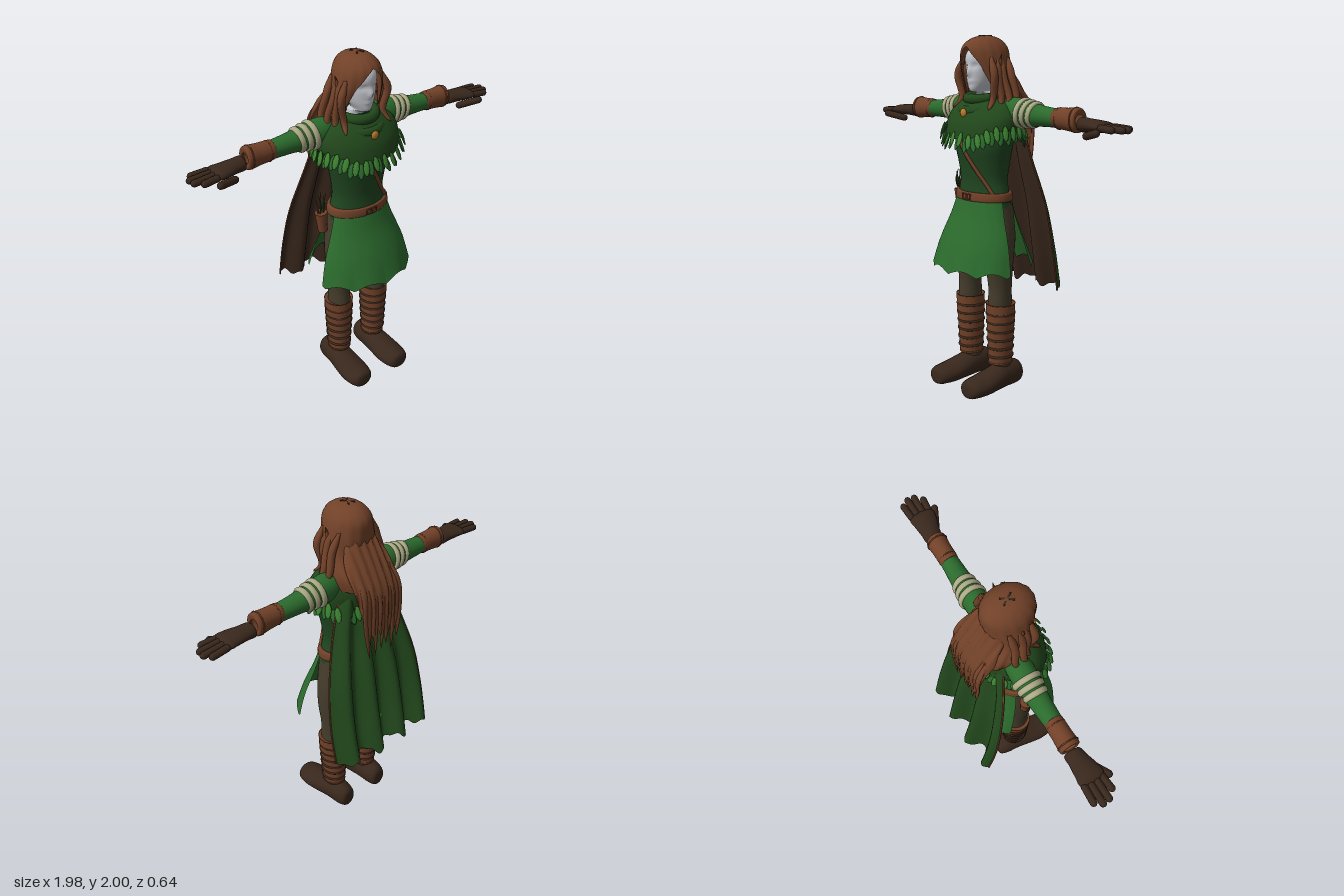
import * as THREE from 'three';

const mat = (name, color) => new THREE.MeshStandardMaterial({ name, color, side: THREE.DoubleSide });
const M = {
  skirt: mat('bright green cloth', 0x2b6a2d), torso: mat('deep green cloth', 0x1f4520),
  cape: mat('forest green cloth', 0x22481c), leaf: mat('leaf green', 0x3d8130),
  leather: mat('brown leather and hair', 0x714128), dark: mat('dark brown leather', 0x38271c),
  trousers: mat('olive brown cloth', 0x443c2b), face: mat('pale grey', 0xc4c7cd),
  cream: mat('cream binding', 0xaaa884), gold: mat('gold', 0xb97c2a),
};

// Smooth interpolation through a list of rows, v in 0..1
function rowAt(rows, v) {
  const n = rows.length - 1, f = v * n, i = Math.min(n - 1, Math.floor(f)), t = f - i;
  return rows[i].map((a, k) => {
    const p = rows[Math.max(0, i - 1)][k], b = rows[i + 1][k], c = rows[Math.min(n, i + 2)][k];
    return a + 0.5 * t * (b - p + t * (2 * p - 5 * a + 4 * b - c + t * (3 * (a - b) + c - p)));
  });
}

// Surface from fn(u, v) -> Vector3; wrap joins u = 1 to u = 0
function grid(fn, nu, nv, wrap = false) {
  const pos = [], idx = [], cols = wrap ? nu : nu + 1;
  for (let j = 0; j <= nv; j++) for (let i = 0; i < cols; i++) pos.push(...fn(i / nu, j / nv).toArray());
  for (let j = 0; j < nv; j++) for (let i = 0; i < nu; i++) {
    const a = j * cols + i, b = j * cols + (i + 1) % cols;
    idx.push(a, b, b + cols, a, b + cols, a + cols);
  }
  const g = new THREE.BufferGeometry();
  g.setAttribute('position', new THREE.Float32BufferAttribute(pos, 3));
  g.setIndex(idx);
  g.computeVertexNormals();
  return g;
}

// Elliptical loft; rows are [y, x, z, rx, rz] from bottom to top, angle 0 faces +z
function loft(rows, { n = 32, m = 24, a0 = -Math.PI, a1 = Math.PI, lo = () => 0, warp } = {}) {
  return grid((u, v) => {
    const a = a0 + (a1 - a0) * u, l = lo(a), w = l + (1 - l) * v;
    const [y, x, z, rx, rz] = rowAt(rows, w);
    const p = V(x + rx * Math.sin(a), y, z + rz * Math.cos(a));
    if (warp) warp(p, a, w);
    return p;
  }, n, m, a1 - a0 > 6.28);
}

// Tube that tapers to a point at its end
function lock(points, r, flat = 1) {
  const c = new THREE.CatmullRomCurve3(points.map(p => V(...p)));
  return grid((u, v) => {
    const a = u * Math.PI * 2, k = r * Math.sqrt(Math.max(0, 1 - v ** 3)) * Math.min(1, 0.4 + v * 3);
    return c.getPoint(v).add(V(-k * Math.sin(a), 0, k * flat * Math.cos(a)));
  }, 8, 14, true);
}
const tube = (pts, r) => new THREE.TubeGeometry(new THREE.CatmullRomCurve3(pts), 30, r, 6);
const V = (x, y, z) => new THREE.Vector3(x, y, z);

export function createModel() {
  const root = new THREE.Group();
  root.name = 'caped archer';
  const add = (name, geo, m, parent = root) => {
    const mesh = new THREE.Mesh(geo, m);
    mesh.name = name;
    parent.add(mesh);
    return mesh;
  };

  // Torso
  const torsoRows = [[1.0, 0, .045, .185, .12], [1.1, 0, .05, .18, .118], [1.2, 0, .05, .156, .112], [1.3, 0, .05, .165, .125],
    [1.4, 0, .05, .185, .142], [1.5, 0, .04, .19, .13], [1.6, 0, .02, .17, .1], [1.67, 0, .02, .08, .07]];
  add('torso', loft(torsoRows), M.torso);

  // Belt, double buckle and diagonal strap
  add('belt', loft([[1.095, 0, .05, .17, .11], [1.097, 0, .05, .192, .13], [1.14, 0, .05, .188, .127], [1.142, 0, .05, .165, .11]]), M.leather);
  for (const x of [-.017, .017]) {
    const buckle = add('buckle', new THREE.TorusGeometry(.02, .005, 6, 4).rotateZ(Math.PI / 4), M.leather);
    buckle.position.set(x, 1.118, .182);
  }
  const strap = [];
  for (let i = 0; i <= 10; i++) {
    const t = i / 10, x = -.05 + .2 * t, y = 1.45 - .32 * t, [, , z, rx, rz] = rowAt(torsoRows, (y - 1) / .7);
    strap.push(V(x, y, z + rz * Math.sqrt(1 - (x / rx) ** 2) + .004));
  }
  add('chest strap', tube(strap, .011), M.leather);

  // Skirt: front and back panels with scalloped hems and open sides
  const hem = (p, a, v) => { p.y += (.03 * Math.abs(Math.sin(a * 5)) - .015) * Math.max(0, 1 - v * 3); };
  const waist = [1.11, 0, .05, .185, .122];
  add('skirt front', loft([[.71, 0, .075, .315, .243], [.85, 0, .07, .282, .2], [1.0, 0, .06, .222, .146], waist],
    { n: 64, a0: -1.35, a1: 1.35, warp: hem }), M.skirt);
  add('skirt back', loft([[.72, 0, 0, .275, .21], [.85, 0, .02, .25, .175], [1.0, 0, .04, .21, .135], waist],
    { n: 64, a0: 1.95, a1: 2 * Math.PI - 1.95, warp: hem }), M.skirt);

  // Shoulder mantle, hem raised under the arms
  const mantleRows = [[1.44, 0, .055, .245, .18], [1.53, 0, .045, .245, .172], [1.6, 0, .035, .215, .145], [1.65, 0, .03, .15, .11], [1.68, 0, .035, .09, .08]];
  const raise = (p, a, v) => { p.y += .06 * Math.sin(a) ** 4 * (1 - v) ** 2; };
  add('mantle', loft(mantleRows, { n: 48, warp: raise }), M.cape);
  // Two staggered rows of leaves along the mantle hem
  const leaves = new THREE.Group();
  leaves.name = 'leaf fringe';
  root.add(leaves);
  const leafGeo = new THREE.SphereGeometry(1, 8, 6).scale(.018, .043, .006);
  for (let r = 0; r < 2; r++) for (let i = 0; i < 28; i++) {
    const a = (i + r / 2) / 28 * Math.PI * 2, k = 1.03 + r * .05;
    const leaf = add('leaf', leafGeo, r ? M.leaf : M.skirt, leaves);
    leaf.position.set(.25 * k * Math.sin(a), 1.423 + r * .02 + .05 * Math.sin(a) ** 4 + .012 * Math.sin(i * 5), .055 + .185 * k * Math.cos(a));
    leaf.rotation.set(-.35, a, .2 * Math.sin(i * 7), 'YXZ');
  }
  // Draped cowl and brooch
  [[.1, .03, 1.665, .035, .12], [.125, .03, 1.625, .045, .3]].forEach(([R, r, y, z, tilt]) => {
    const fold = add('cowl fold', new THREE.TorusGeometry(R, r, 10, 36), M.cape);
    fold.position.set(0, y, z);
    fold.rotation.x = Math.PI / 2 + tilt;
  });
  add('brooch', new THREE.SphereGeometry(.024, 12, 8).scale(1, 1, .5), M.gold).position.set(0, 1.583, .2);

  // Cape: green outside, brown lining, deep folds
  const capeRows = [[.575, .335, -.275, .045], [.8, .335, -.235, .04], [1.05, .31, -.195, .03], [1.3, .245, -.145, .02], [1.5, .18, -.115, .01], [1.63, .12, -.07, .004]];
  const capePoint = (s, v, dz = 0) => {
    const [y, w, z, amp] = rowAt(capeRows, v);
    const fray = .014 * (Math.sin(s * 19) + .6 * Math.sin(s * 43)) * Math.max(0, 1 - v * 4);
    return V(w * s, y + fray, z + dz - amp * Math.cos((s - .2) * 11.4) + (.02 + .02 * v) * s ** 4);
  };
  add('cape', grid((u, v) => capePoint(1 - 2 * u, v), 80, 30), M.cape);
  add('cape lining', grid((u, v) => capePoint(2 * u - 1, v, .007), 80, 30), M.dark);
  for (const s of [-1, 1]) add('cape edging', tube(Array.from({ length: 12 }, (_, i) => capePoint(s, i / 11)), .005), M.leather);

  // Head with brow, nose and chin
  const bump = (p, x, y, sx, sy, h) => h * Math.exp(-(((p.x - x) / sx) ** 2) - ((p.y - y) / sy) ** 2);
  add('head', loft([[1.6, 0, .03, .05, .05], [1.68, 0, .04, .05, .055], [1.7, 0, .075, .04, .07], [1.75, 0, .065, .067, .09],
    [1.82, 0, .06, .083, .1], [1.9, 0, .055, .083, .1], [1.97, 0, .04, .03, .04]], {
    n: 48, m: 40, warp: (p, a) => {
      if (Math.cos(a) < 0) return;
      p.z += bump(p, 0, 1.8, .014, .025, .018) + bump(p, 0, 1.75, .03, .008, .006)
        - bump(p, .036, 1.835, .02, .013, .01) - bump(p, -.036, 1.835, .02, .013, .01);
    },
  }), M.face);

  // Hair: parted cap open over the face
  const hairRows = [[1.56, 0, -.05, .15, .13], [1.65, 0, -.035, .172, .13], [1.75, 0, .02, .155, .115], [1.85, 0, .04, .135, .138],
    [1.93, 0, .043, .112, .136], [1.98, 0, .04, .066, .085], [2.0, 0, .035, 0, 0]];
  const smooth = THREE.MathUtils.smoothstep;
  add('hair', loft(hairRows, {
    n: 96, m: 36,
    lo: a => { const t = Math.abs(a); return (4.1 - 1.35 * Math.min(1, t / .7) ** 1.3 - 2.5 * smooth(t, .62, .95)) / 6; },
    warp: (p, a, v) => {
      const k = 1 + .025 * Math.sin(a * 15 + v * 5) * (1 - v);
      p.x *= k; p.z *= k;
    },
  }), M.leather);
  // Long hair down the back
  add('back hair', loft([[1.33, -.01, -.205, .1, .012], [1.45, -.01, -.205, .13, .02], [1.58, 0, -.18, .15, .035], [1.68, 0, -.12, .15, .05],
    [1.8, 0, -.05, .11, .05], [1.88, 0, -.02, .06, .04]], {
    n: 64, warp: (p, a, v) => { p.z -= .008 * Math.sin(p.x * 130); if (v < .1) p.y += .02 * Math.sin(p.x * 90); },
  }), M.leather);
  for (let i = 0; i < 11; i++) {
    const x = (i - 5) * .025 - .012, end = 1.24 + .06 * Math.sin(i * 2.4);
    add('hair strand', lock([[x * .9, 1.68, -.15], [x, 1.56, -.205], [x, 1.4, -.215], [x * .85 + .012 * Math.sin(i * 3), end, -.218]], .018, .6), M.leather);
  }
  // Stitched cross on the crown
  for (const s of [-1, 1]) {
    const stitch = add('crown stitch', new THREE.BoxGeometry(.009, .008, .075), M.dark);
    stitch.position.set(0, 1.994, .04);
    stitch.rotation.y = s * .6;
  }

  // Hip pouch with sprigs
  const pouch = add('hip pouch', new THREE.CylinderGeometry(.036, .026, .12, 14), M.leather);
  pouch.position.set(-.232, 1.06, .03);
  pouch.rotation.z = .08;
  for (let i = 0; i < 5; i++) {
    const x = -.235 + (i - 2) * .01;
    add('sprig', lock([[x, 1.1, .03], [x - .004, 1.17, .03 + (i % 2) * .02], [x + (i - 2) * .008, 1.22 + .015 * (i % 3), .03]], .005), i % 2 ? M.cape : M.leather);
  }

  for (const s of [-1, 1]) {
    const side = s > 0 ? 'left ' : 'right ';
    // Side locks and pointed ear
    [[.155, .06, 1.53], [.185, .03, 1.51], [.13, .1, 1.6], [.19, -.02, 1.55]].forEach(([x, z, end], i) => {
      add(side + 'side lock', lock([[s * .115, 1.88, z], [s * (.14 + i * .006), 1.78, z + .01], [s * x, 1.66, z], [s * (x + .02), end, z + .05]], .022), M.leather);
    });
    const ear = add(side + 'ear', new THREE.ConeGeometry(.014, .07, 8), M.leather);
    ear.position.set(s * .138, 1.87, .05);
    ear.rotation.z = -s * .3;

    // Arm, built along its own y axis pointing outwards
    const arm = new THREE.Group();
    arm.name = side + 'arm';
    arm.rotation.z = -s * Math.PI / 2;
    root.add(arm);
    const out = rows => rows.map(([x, y, z, ry, rz]) => [x, -s * y, z, ry, rz]);
    add('sleeve', loft(out([[.12, 1.59, 0, .07, .06], [.2, 1.588, 0, .08, .07], [.3, 1.585, -.003, .073, .066], [.4, 1.578, -.003, .056, .056], [.53, 1.573, 0, .048, .048]])), M.skirt, arm);
    // Three broad slanted bindings
    for (let i = 0; i < 3; i++) {
      const x = .268 + i * .041, r = .079 - i * .006, b = (dx, dr) => [x + dx, 1.585 - i * .002, -.003, r + dr, r - .005 + dr];
      add('arm binding', loft(out([b(-.017, -.014), b(-.014, .002), b(0, .006), b(.014, .001), b(.017, -.016)]),
        { m: 12, warp: (p, a) => { p.y -= s * .012 * Math.sin(a); } }), M.cream, arm);
    }
    add('bracer', loft(out([[.512, 1.575, 0, .04, .04], [.514, 1.575, 0, .053, .05], [.59, 1.573, 0, .058, .052], [.664, 1.572, 0, .063, .054], [.667, 1.572, 0, .03, .03]])), M.leather, arm);
    for (const [x, r] of [[.535, .0545], [.645, .0625]]) {
      const ring = add('bracer cord', new THREE.TorusGeometry(r, .004, 6, 28).rotateX(Math.PI / 2).scale(1, 1, .9), M.leather, arm);
      ring.position.set(-s * 1.573, x, 0);
    }
    // Gloved hand: palm, four fingers, thumb
    add('palm', loft(out([[.682, 1.553, 0, 0, 0], [.684, 1.553, 0, .036, .044], [.74, 1.553, .006, .034, .054], [.8, 1.552, .012, .031, .066], [.85, 1.551, .012, .024, .066], [.872, 1.549, .012, 0, 0]])), M.dark, arm);
    [.95, .985, .99, .965].forEach((tip, i) => {
      const z = .06 - i * .033, z2 = .072 - i * .039;
      const finger = add('finger', new THREE.CapsuleGeometry(.0185, tip - .84 - .037, 4, 10), M.dark, arm);
      finger.position.set(-s * 1.547, (tip + .84) / 2, (z + z2) / 2);
      finger.rotation.set((z2 - z) / (tip - .84), 0, -s * .06);
    });
    const thumb = add('thumb', new THREE.CapsuleGeometry(.02, .12, 4, 10), M.dark, arm);
    thumb.position.set(-s * 1.515, .81, .075);
    thumb.rotation.set(.45, 0, s * .2);

    // Leg
    const leg = new THREE.Group();
    leg.name = side + 'leg';
    root.add(leg);
    const at = rows => rows.map(([y, x, ...r]) => [y, s * x, ...r]);
    add('trouser leg', loft(at([[.12, .13, .03, .05, .055], [.45, .13, .045, .062, .074], [.6, .13, .045, .063, .07], [.75, .125, .05, .08, .085], [.9, .112, .043, .093, .1], [1.08, .09, .045, .09, .1]])), M.trousers, leg);
    // Layered gaiter with dark straps
    const shin = [[.155, .128, .04, .064, .072], [.3, .13, .04, .071, .079], [.42, .132, .042, .08, .083], [.5, .132, .043, .084, .084]];
    add('gaiter', loft(at([[.155, .128, .04, .03, .03], shin[0], ...shin, shin[3], [.495, .132, .043, .06, .06]]), { m: 40 }), M.leather, leg);
    for (let i = 0; i < 6; i++) {
      const y = .19 + i * .051, q = (y - .15) / .35, c = (dy, dr) => [y + dy, .13, .041, .067 + .019 * q + dr, .076 + .01 * q + dr];
      add('gaiter strap', loft(at([c(-.008, -.006), c(-.005, .002), c(.005, .002), c(.008, -.006)]), { m: 6 }), M.dark, leg);
    }
    // Shoe with a flat sole, built lengthwise: [z, x, -height, half width, half height]
    const shoe = [[-.1, .132, -.06, 0, 0], [-.096, .132, -.06, .045, .055], [-.05, .133, -.066, .064, .076], [.03, .134, -.068, .07, .078],
      [.12, .137, -.056, .08, .068], [.2, .139, -.046, .086, .058], [.27, .14, -.043, .076, .053], [.304, .14, -.04, .05, .042], [.31, .14, -.035, 0, 0]];
    add('shoe', loft(at(shoe), { m: 32, warp: p => { p.z = Math.min(0, p.z); } }).rotateX(Math.PI / 2), M.dark, leg);
  }
  return root;
}
